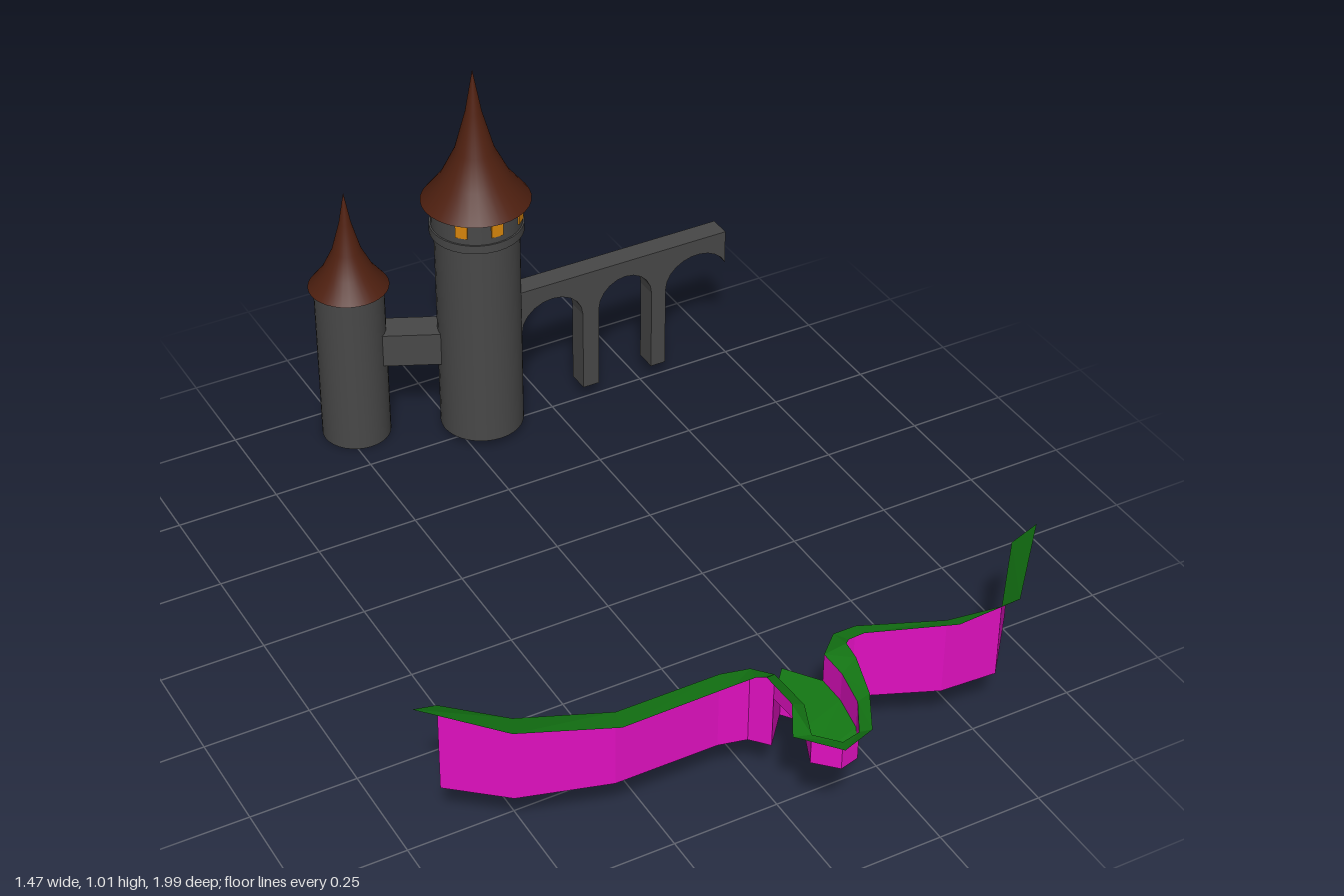
import * as THREE from 'three';

const mat = (color, extra = {}) => new THREE.MeshStandardMaterial({ color, ...extra });
const sheet = { side: THREE.DoubleSide, flatShading: true };
const stone = mat(0x484848), roofMat = mat(0x4f2010), glow = mat(0xd8860c);
const rock = mat(0xe010c0, sheet), grass = mat(0x147814, sheet);

function add(parent, name, geometry, material, x = 0, y = 0, z = 0) {
  const mesh = new THREE.Mesh(geometry, material);
  mesh.name = name;
  mesh.position.set(x, y, z);
  parent.add(mesh);
  return mesh;
}

const drum = (parent, name, r, y0, y1) =>
  add(parent, name, new THREE.CylinderGeometry(r, r, y1 - y0, 32), stone, 0, (y0 + y1) / 2, 0);

// Concave pointed roof with a flat underside
function roof(parent, r, y0, y1) {
  const profile = [[0, 0], [1, 0], [1, 0], [0.64, 0.175], [0.36, 0.39], [0.15, 0.68], [0, 1]]
    .map(([a, b]) => new THREE.Vector2(a * r, b * (y1 - y0)));
  add(parent, 'roof', new THREE.LatheGeometry(profile, 32), roofMat, 0, y0, 0);
}

// Ribbon between two rows of points
function ribbon(rowA, rowB) {
  const pos = [], index = [];
  rowA.forEach((p, i) => {
    pos.push(...p, ...rowB[i]);
    const k = 2 * i;
    if (i) index.push(k - 2, k - 1, k, k, k - 1, k + 1);
  });
  const g = new THREE.BufferGeometry();
  g.setAttribute('position', new THREE.Float32BufferAttribute(pos, 3));
  g.setIndex(index);
  g.computeVertexNormals();
  return g;
}

function buildTowers(root) {
  const main = new THREE.Group();
  main.name = 'mainTower';
  main.position.set(0.064, 0, -0.768);
  drum(main, 'towerBody', 0.103, 0.027, 0.6);
  drum(main, 'collarMoulding', 0.114, 0.58, 0.602);
  drum(main, 'collar', 0.11, 0.6, 0.668);
  roof(main, 0.132, 0.664, 1.01);
  // Lit windows around the front of the collar
  for (const deg of [-45, 0, 45, 90]) {
    const a = THREE.MathUtils.degToRad(deg);
    const w = add(main, 'window', new THREE.BoxGeometry(0.03, 0.036, 0.01), glow,
      Math.sin(a) * 0.107, 0.637, Math.cos(a) * 0.107);
    w.rotation.y = a;
  }

  const small = new THREE.Group();
  small.name = 'smallTower';
  small.position.set(-0.217, 0, -0.9);
  drum(small, 'towerBody', 0.085, 0.003, 0.435);
  roof(small, 0.098, 0.43, 0.69);
  root.add(main, small);

  // Passage joining the two towers
  const d = main.position.clone().sub(small.position);
  const mid = main.position.clone().add(small.position).multiplyScalar(0.5);
  const link = add(root, 'towerPassage', new THREE.BoxGeometry(d.length(), 0.088, 0.078), stone, mid.x, 0.26, mid.z);
  link.rotation.y = -Math.atan2(d.z, d.x);
}

// Arched bridge cut from one side outline
function buildBridge(root) {
  const s = new THREE.Shape(), top = 0.378, spring = 0.26, crown = 0.335, foot = 0.04;
  const arch = (x0, x1, upTo = 1) => {
    for (let i = 0; i <= 10; i++) {
      const a = Math.PI * (i / 10) * upTo;
      s.lineTo((x0 + x1) / 2 - Math.cos(a) * (x1 - x0) / 2, spring + Math.sin(a) * (crown - spring));
    }
  };
  s.moveTo(0.12, top);
  s.lineTo(0.12, spring);
  arch(0.165, 0.333);
  s.lineTo(0.333, foot);
  s.lineTo(0.377, foot);
  arch(0.377, 0.526);
  s.lineTo(0.526, foot);
  s.lineTo(0.566, foot);
  arch(0.566, 0.742, 0.88);
  s.lineTo(0.735, 0.29);
  s.lineTo(0.735, top);
  const g = new THREE.ExtrudeGeometry(s, { depth: 0.056, bevelEnabled: false });
  add(root, 'archedBridge', g, stone, 0, 0, -0.796);
}

function buildCliffs(root) {
  // Cliff edge: inner x, y, z then outer x, y, z of the grass verge
  const left = [
    [-0.67, 0.375, 0.503, -0.735, 0.408, 0.525],
    [-0.55, 0.368, 0.605, -0.585, 0.396, 0.675],
    [-0.345, 0.345, 0.665, -0.365, 0.362, 0.73],
    [-0.1, 0.345, 0.665, -0.1, 0.36, 0.725],
    [-0.035, 0.345, 0.68, -0.05, 0.362, 0.727],
    [0.0, 0.345, 0.72, -0.035, 0.37, 0.745],
  ];
  const bay = [
    [0.0, 0.345, 0.72, -0.035, 0.37, 0.745],
    [0.005, 0.345, 0.83, -0.032, 0.37, 0.84],
    [-0.03, 0.345, 0.915, -0.075, 0.358, 0.915],
    [0.02, 0.335, 0.955, 0.0, 0.353, 0.995],
    [0.065, 0.335, 0.945, 0.08, 0.355, 0.97],
    [0.105, 0.345, 0.875, 0.13, 0.362, 0.88],
    [0.12, 0.35, 0.79, 0.16, 0.37, 0.78],
    [0.12, 0.35, 0.72, 0.168, 0.368, 0.73],
  ];
  const right = [
    [0.12, 0.35, 0.72, 0.168, 0.368, 0.73],
    [0.175, 0.345, 0.668, 0.185, 0.358, 0.712],
    [0.23, 0.345, 0.668, 0.225, 0.358, 0.71],
    [0.41, 0.345, 0.745, 0.41, 0.366, 0.79],
    [0.545, 0.335, 0.753, 0.555, 0.385, 0.8],
    [0.67, 0.358, 0.605, 0.705, 0.42, 0.64],
  ];
  const inner = row => row.map(p => p.slice(0, 3));
  const outer = row => row.map(p => p.slice(3));
  const down = (row, y) => row.map(([x, , z]) => [x, y, z]);
  const base = 0.147;

  add(root, 'leftCliff', ribbon(inner(left), down(left, base)), rock);
  add(root, 'rightCliff', ribbon(inner(right), down(right, base)), rock);
  add(root, 'grassVerge', ribbon(inner([...left, ...bay.slice(1), ...right.slice(1)]),
    outer([...left, ...bay.slice(1), ...right.slice(1)])), grass);

  // Sunken bay with a sloping grass floor
  const floorY = z => (z > 0.86 ? 0.278 - (z - 0.86) * 0.17 : 0.278);
  const bayFoot = inner(bay).map(([x, , z]) => [x, floorY(z), z]);
  add(root, 'bayWall', ribbon(inner(bay), bayFoot), rock);
  const half = bayFoot.length / 2;
  const tip = [0.065, 0.278, 0.645];
  const floorLeft = [tip, ...bayFoot.slice(0, half)];
  const floorRight = [tip, ...bayFoot.slice(half).reverse()];
  add(root, 'bayFloor', ribbon(floorLeft, floorRight), grass);

  // Folded cliff below the back of the bay
  const fold = [bayFoot[0], [0.045, 0.278, 0.668], tip, [0.08, 0.278, 0.665], bayFoot[bayFoot.length - 1]];
  add(root, 'gapCliff', ribbon(fold, down(fold, base)), rock);
}

export function createModel() {
  const root = new THREE.Group();
  root.name = 'castleRuinsAndCliffs';
  buildTowers(root);
  buildBridge(root);
  buildCliffs(root);
  return root;
}
